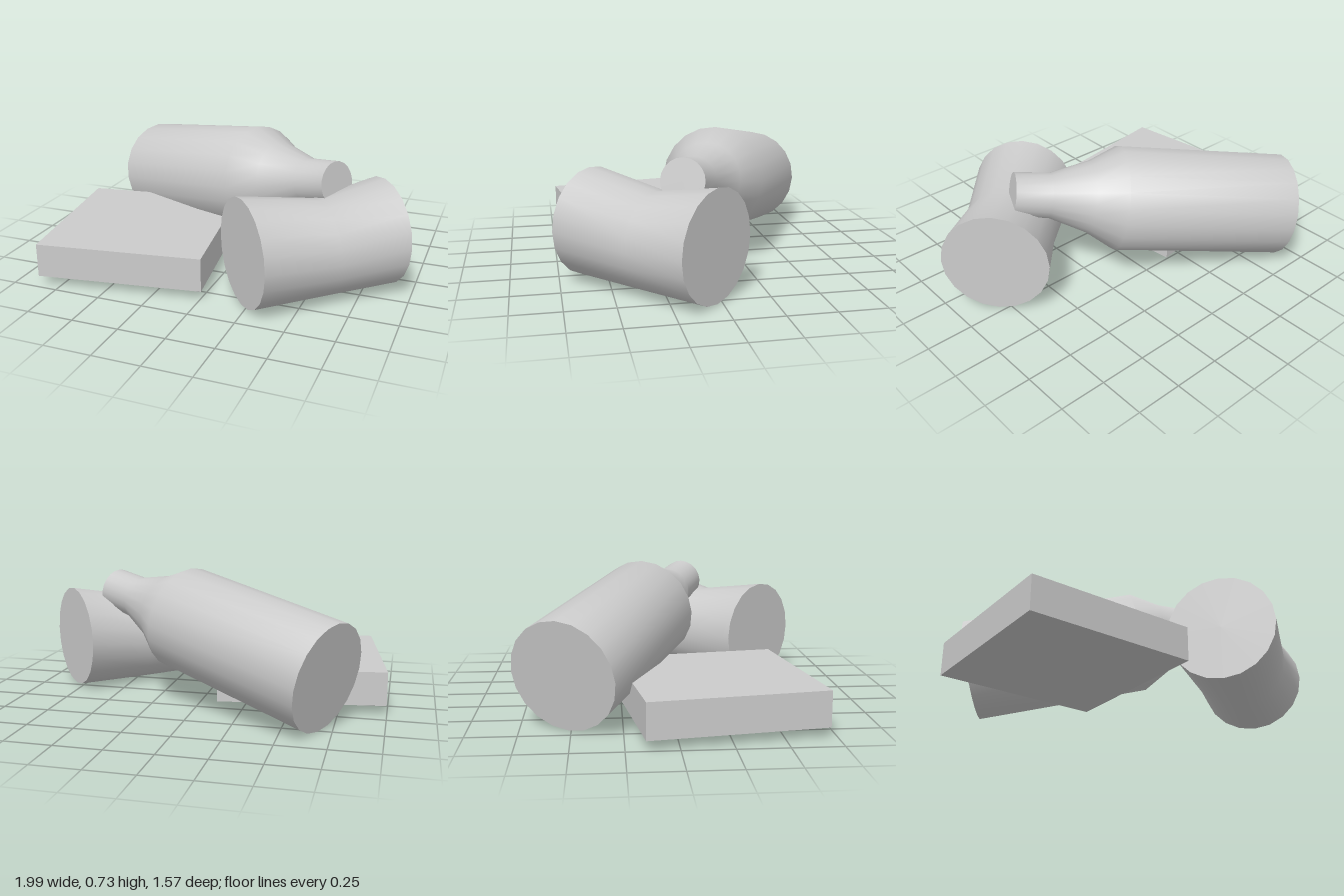
import * as THREE from 'three';
import { toCreasedNormals } from 'three/addons/utils/BufferGeometryUtils.js';

const SIDES = 20;
const material = new THREE.MeshStandardMaterial({ color: 0xcccccc });

function makeMesh(name, geometry) {
  const mesh = new THREE.Mesh(geometry, material);
  mesh.name = name;
  return mesh;
}

// Lays a mesh along a line: local y runs from start to end, local z leans upwards
function layAlong(mesh, start, end) {
  const axis = end.clone().sub(start).normalize();
  const side = axis.clone().cross(new THREE.Vector3(0, 1, 0)).normalize();
  const up = side.clone().cross(axis);
  mesh.quaternion.setFromRotationMatrix(new THREE.Matrix4().makeBasis(side, axis, up));
  mesh.position.copy(start);
}

// Square slab lying flat
function createSlab() {
  const slab = makeMesh('slab', new THREE.BoxGeometry(0.885, 0.18, 0.885));
  slab.position.set(-0.495, 0.14, 0.217);
  slab.rotation.y = 0.147;
  return slab;
}

// Bottle with sloping shoulder and short neck, tilted up onto the can
function createBottle() {
  const profile = [
    [0, 0], [0.282, 0], [0.28, 0.953], [0.194, 1.103],
    [0.12, 1.315], [0.115, 1.507], [0, 1.507],
  ].map(([r, y]) => new THREE.Vector2(r, y));
  const geometry = toCreasedNormals(new THREE.LatheGeometry(profile, SIDES), 0.9);
  const bottle = makeMesh('bottle', geometry);
  layAlong(bottle, new THREE.Vector3(-0.725, 0.28, -0.537), new THREE.Vector3(0.583, 0.56, 0.155));
  return bottle;
}

// Can lying on its side, pinched and sagging at the middle ring
function createCan() {
  const start = new THREE.Vector3(0.22, 0.29, 0.572);
  const end = new THREE.Vector3(0.805, 0.29, 0.03);
  const length = start.distanceTo(end);
  const geometry = new THREE.CylinderGeometry(0.283, 0.283, length, SIDES, 2);
  const p = geometry.attributes.position;
  for (let i = 0; i < p.count; i++) {
    if (Math.abs(p.getY(i)) < 0.01) {
      p.setXYZ(i, p.getX(i) * 0.887, 0.03, p.getZ(i) * 0.887 - 0.036);
    }
  }
  geometry.translate(0, length / 2, 0);
  const can = makeMesh('dentedCan', toCreasedNormals(geometry, 0.9));
  layAlong(can, start, end);
  return can;
}

export function createModel() {
  const model = new THREE.Group();
  model.name = 'litterPile';
  model.add(createSlab(), createBottle(), createCan());
  return model;
}
